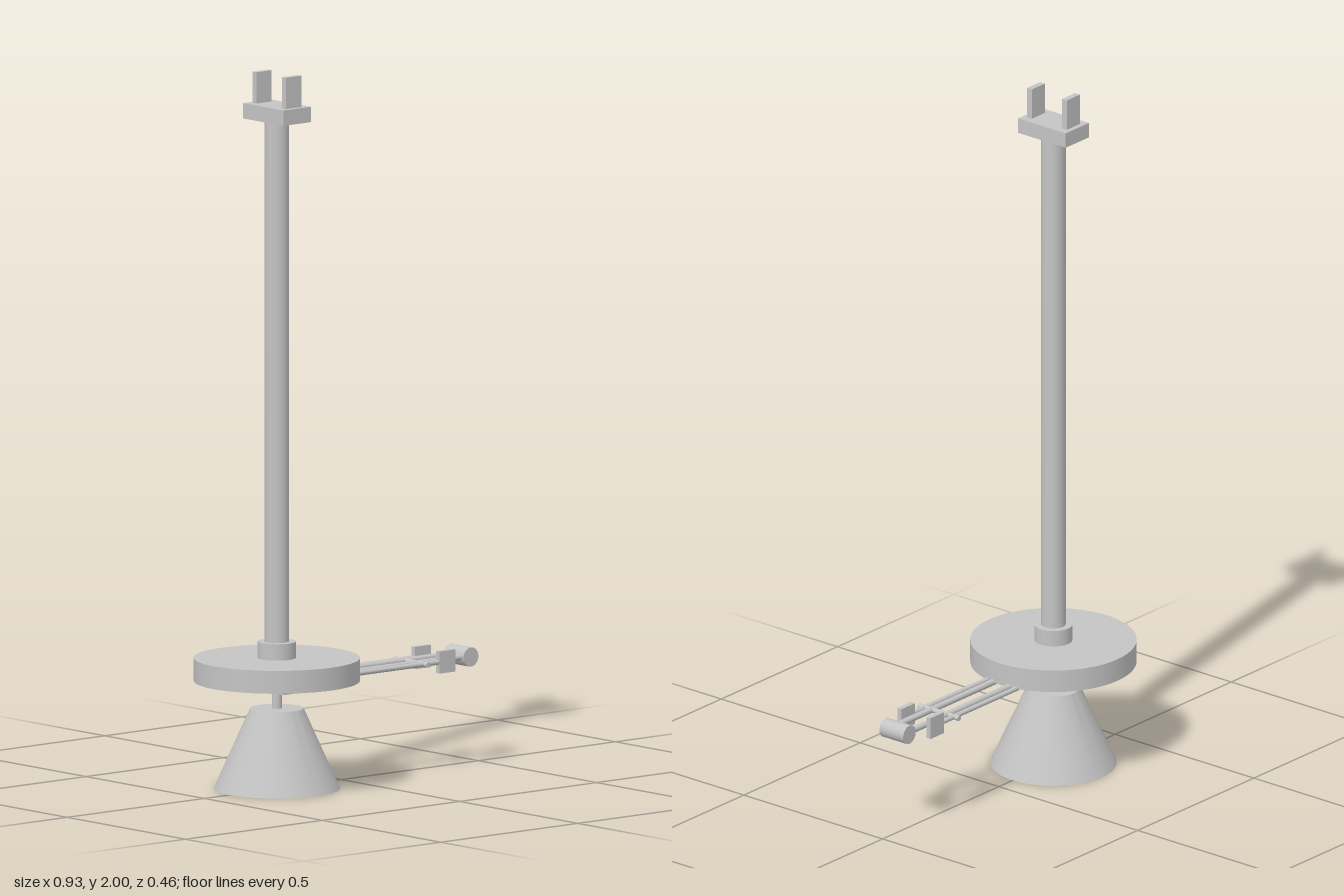
import * as THREE from 'three';
import { toCreasedNormals } from 'three/addons/utils/BufferGeometryUtils.js';

const AXIS = -0.235; // x of the pole
const ARM_Y = 0.302; // height of the arm rods

export function createModel() {
  const model = new THREE.Group();
  model.name = 'poleLampWithArm';
  const grey = new THREE.MeshStandardMaterial({ color: 0xc4c4c4 });
  grey.name = 'light grey';

  const add = (name, geometry, x, y, z) => {
    const mesh = new THREE.Mesh(geometry, grey);
    mesh.name = name;
    mesh.position.set(x, y, z);
    model.add(mesh);
    return mesh;
  };
  const box = (name, w, h, d, x, y, z) => add(name, new THREE.BoxGeometry(w, h, d), x, y, z);
  // Upright cylinder from y0 to y1 on the pole axis
  const post = (name, r, y0, y1) =>
    add(name, new THREE.CylinderGeometry(r, r, y1 - y0, 64), AXIS, (y0 + y1) / 2, 0);
  // Lying cylinders along x and z
  const rodX = (name, r, x0, x1, z) => {
    add(name, new THREE.CylinderGeometry(r, r, x1 - x0, 24), (x0 + x1) / 2, ARM_Y, z).rotation.z = Math.PI / 2;
  };
  const rodZ = (name, r, length, x, y = ARM_Y) => {
    add(name, new THREE.CylinderGeometry(r, r, length, 32), x, y, 0).rotation.x = Math.PI / 2;
  };

  // Pole, collar, disc and shade stem
  post('pole', 0.034, 0.36, 1.88);
  post('collar', 0.053, 0.36, 0.412);
  post('disc', 0.23, 0.302, 0.366);
  post('shadeStem', 0.014, 0.12, 0.31);

  // Mounting plate with two upright tabs
  box('topPlate', 0.1, 0.043, 0.172, AXIS, 1.891, 0);
  for (const s of [-1, 1]) box('topTab', 0.056, 0.09, 0.017, AXIS, 1.955, s * 0.063);

  // Hollow conical shade, open below, with a bulb inside
  const profile = [[0, 0.218], [0.069, 0.218], [0.168, 0], [0.175, 0], [0.074, 0.225], [0, 0.225]]
    .map(([r, y]) => new THREE.Vector2(r, y));
  add('shade', toCreasedNormals(new THREE.LatheGeometry(profile, 64), 0.6), AXIS, 0, 0);
  add('bulb', new THREE.SphereGeometry(0.038, 32, 20), AXIS, 0.118, 0);

  // Arm: inner rods, outer rods and side plates in mirrored pairs
  for (const s of [-1, 1]) {
    rodX('innerRod', 0.009, -0.29, 0.42, s * 0.028);
    rodX('outerRod', 0.007, -0.235, 0.31, s * 0.052);
    box('armPlate', 0.058, 0.062, 0.015, 0.336, ARM_Y, s * 0.052);
    box('pivotPlate', 0.056, 0.062, 0.015, AXIS, ARM_Y, s * 0.052);
  }
  rodZ('armCrossbar', 0.0075, 0.144, 0.256);
  rodZ('pivotCrossbar', 0.0075, 0.15, AXIS, 0.29);
  rodZ('endRoller', 0.027, 0.086, 0.436);
  rodZ('pivotRoller', 0.026, 0.086, -0.285);

  return model;
}
